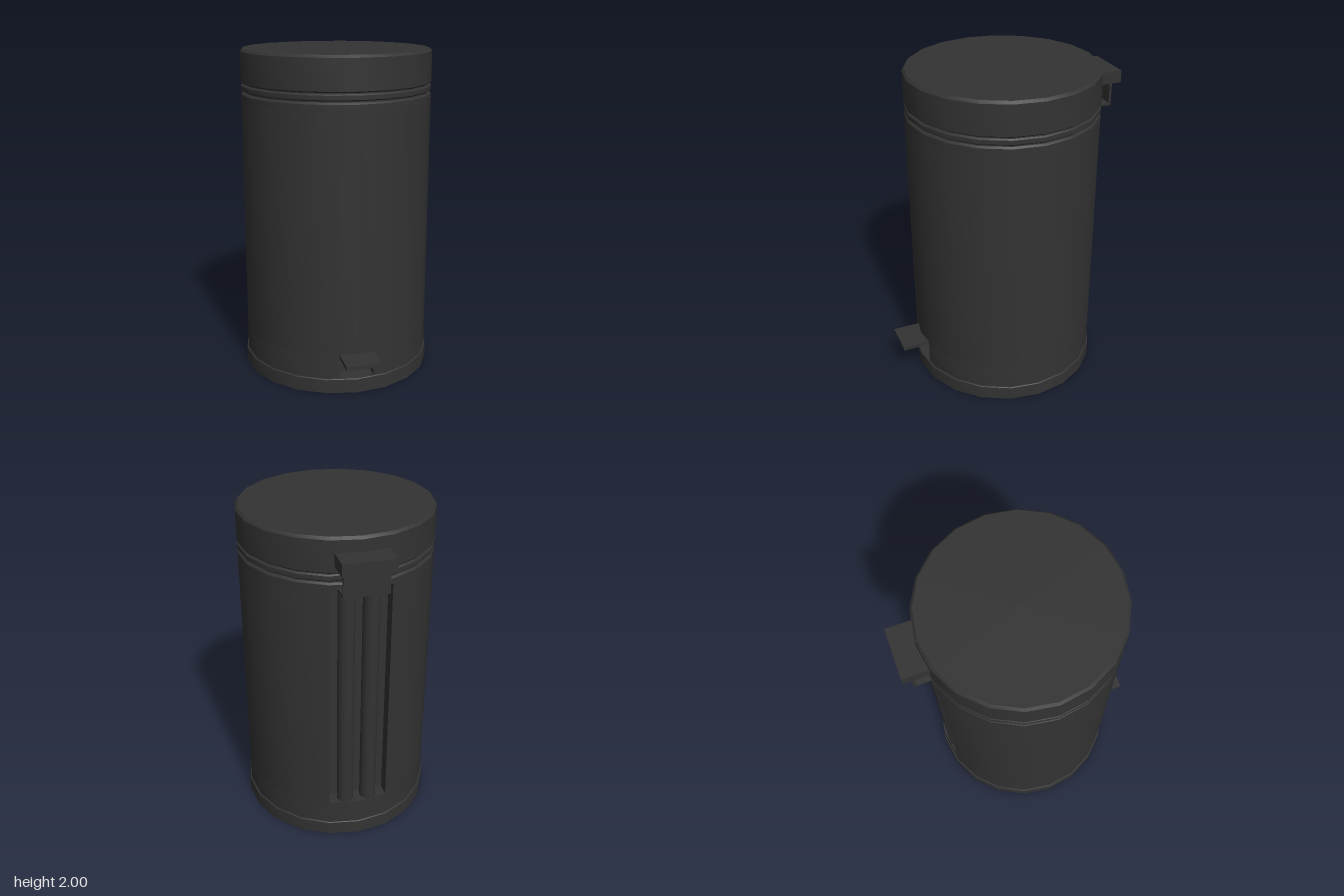
import * as THREE from 'three';
import { toCreasedNormals } from 'three/addons/utils/BufferGeometryUtils.js';

const SIDES = 20;
const CENTRE_Z = -0.012; // axis of the round parts
const R = 0.58;          // body radius

export function createModel() {
  const model = new THREE.Group();
  const material = new THREE.MeshStandardMaterial({ color: 0x333333 });

  function add(name, geometry, x = 0, y = 0, z = 0, parent = model) {
    const mesh = new THREE.Mesh(geometry, material);
    mesh.name = name;
    mesh.position.set(x, y, z);
    parent.add(mesh);
    return mesh;
  }

  // Box given by its extents
  function addBox(name, x0, x1, y0, y1, z0, z1, parent) {
    const g = new THREE.BoxGeometry(x1 - x0, y1 - y0, z1 - z0);
    return add(name, g, (x0 + x1) / 2, (y0 + y1) / 2, (z0 + z1) / 2, parent);
  }

  // Closed, bevelled disc turned around the axis
  function disc(r, y0, y1, bevelBottom, bevelTop) {
    const points = [
      [0, y0], [r - bevelBottom, y0], [r, y0 + bevelBottom],
      [r, y1 - bevelTop], [r - bevelTop, y1], [0, y1],
    ].map(([a, b]) => new THREE.Vector2(a, b));
    return toCreasedNormals(new THREE.LatheGeometry(points, SIDES), 0.6);
  }

  // Upright prism of the round outline, optionally with a back or front recess
  // (outline coordinates: x and -z; the first vertex is at the back)
  function prism(y0, y1, { back = null, front = null, bevel = 0 } = {}) {
    const points = [];
    for (let i = 0; i < SIDES; i++) {
      const t = (i / SIDES) * Math.PI * 2;
      if (i === 0 && back) points.push(...back);
      else if (i === SIDES / 2 && front) points.push(...front);
      else points.push([-R * Math.sin(t), R * Math.cos(t)]);
    }
    const shape = new THREE.Shape(points.map(([x, y]) => new THREE.Vector2(x, y)));
    const g = new THREE.ExtrudeGeometry(shape, {
      depth: y1 - y0 - 2 * bevel, bevelEnabled: bevel > 0, bevelSegments: 1,
      bevelSize: bevel, bevelThickness: bevel, bevelOffset: -bevel,
    });
    g.translate(0, 0, bevel);
    g.rotateX(-Math.PI / 2);
    return toCreasedNormals(g, 0.5);
  }

  // Base plinth
  add('base', disc(0.59, 0, 0.09, 0, 0.004), 0, 0, CENTRE_Z);

  // Body: pedal recess low at the front, tall channel at the back
  const edgeX = R * Math.sin(Math.PI / 10);
  const channel = [[edgeX, 0.47], [-edgeX, 0.47]];
  const notch = [[-0.105, -0.563], [-0.105, -0.48], [0.105, -0.48], [0.105, -0.563]];
  const body = new THREE.Group();
  body.name = 'body';
  body.position.z = CENTRE_Z;
  model.add(body);
  add('bodyLower', prism(0.085, 0.24, { front: notch }), 0, 0.085, 0, body);
  add('bodyMiddle', prism(0.24, 1.7, { back: channel }), 0, 0.24, 0, body);
  add('bodyRim', disc(R, 1.7, 1.742, 0, 0.01), 0, 0, 0, body);

  // Two upright rods in the back channel
  for (const side of [-1, 1]) {
    add(side > 0 ? 'rodLeft' : 'rodRight',
      new THREE.CylinderGeometry(0.05, 0.05, 1.46, 16), side * 0.072, 0.97, -0.527);
  }

  // Neck, ring with a flat back, and lid
  add('neck', disc(0.56, 1.72, 1.81, 0, 0), 0, 0, CENTRE_Z);
  add('ring', prism(1.75, 1.789, { back: [], bevel: 0.007 }), 0, 1.75, CENTRE_Z);
  add('lid', disc(R, 1.796, 2, 0.007, 0.015), 0, 0, CENTRE_Z);

  // Pedal
  const pedal = new THREE.Group();
  pedal.name = 'pedal';
  model.add(pedal);
  addBox('pedalPlate', -0.105, 0.105, 0.222, 0.247, 0.46, 0.72, pedal);

  // Hinge: block behind the lid and an angled bracket on the body
  const hinge = new THREE.Group();
  hinge.name = 'hinge';
  model.add(hinge);
  addBox('hingeBlock', -0.15, 0.15, 1.842, 1.915, -0.72, -0.56, hinge);
  addBox('hingePlate', -0.13, 0.13, 1.7, 1.845, -0.672, -0.657, hinge);
  addBox('hingeFoot', -0.13, 0.13, 1.697, 1.712, -0.672, -0.55, hinge);

  return model;
}
